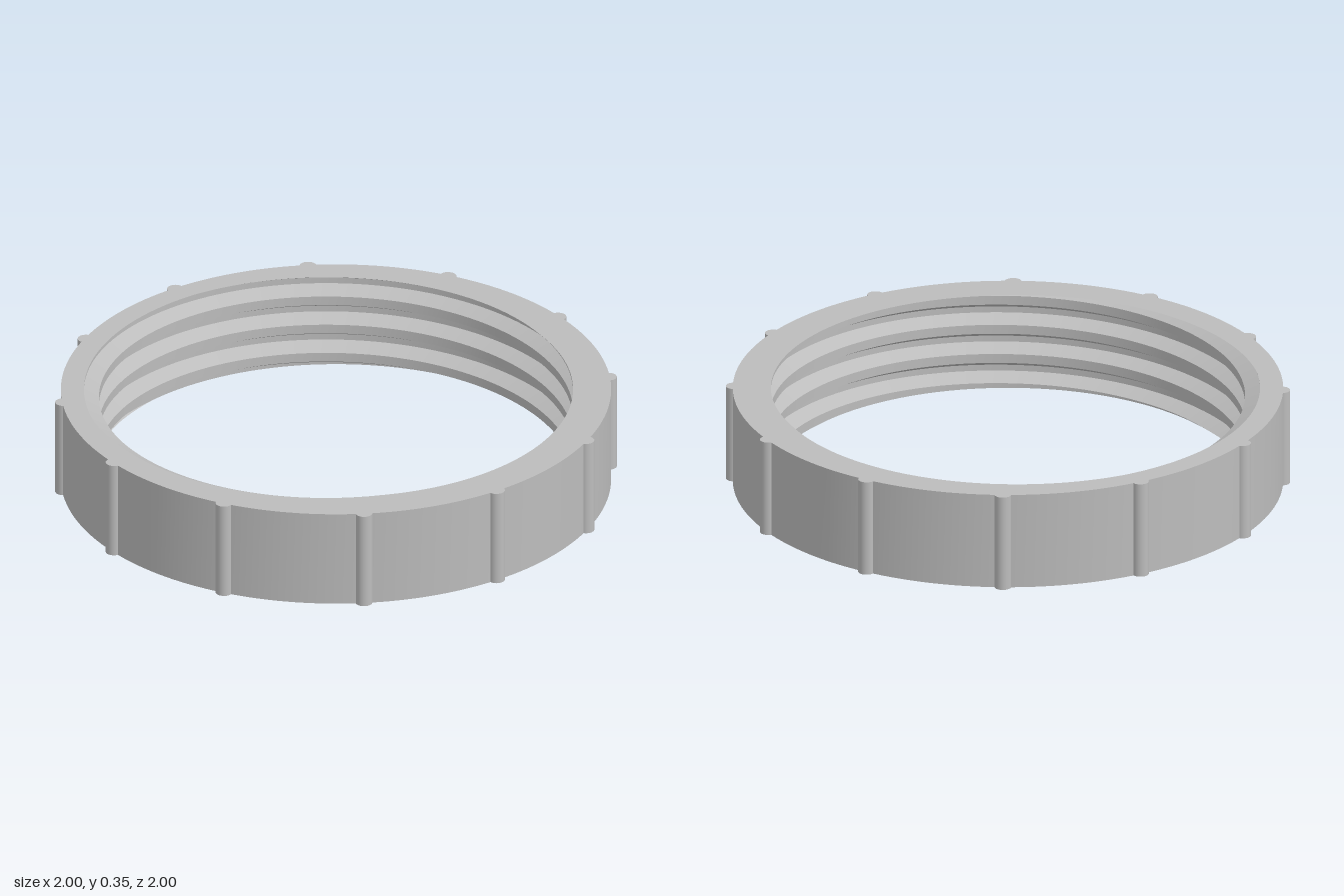
import * as THREE from 'three';
import { toCreasedNormals } from 'three/addons/utils/BufferGeometryUtils.js';

const HEIGHT = 0.355, OUTER = 0.975, CREST = 0.84, ROOT = 0.893;
const PITCH = 0.112, SEGMENTS = 180, RIBS = 12;

// One turn of thread, going up: [fraction of pitch, radius]
const THREAD = [[0, CREST], [0.305, CREST], [0.54, ROOT], [0.74, ROOT], [1, CREST]];
const START = 0.236; // fraction of a turn where the thread opens into the top face

// Fraction of the pitch at which the bottom of a crest meets the top face is START
const crestBase = (t) => HEIGHT + (t - START) * PITCH;

function threadRadius(y, t) {
  let f = (y - crestBase(t)) / PITCH;
  f -= Math.floor(f);
  for (let k = 1; k < THREAD.length; k++) {
    const [f0, r0] = THREAD[k - 1], [f1, r1] = THREAD[k];
    if (f <= f1) return r0 + (r1 - r0) * (f - f0) / (f1 - f0);
  }
  return CREST;
}

// Closed cross-section of the ring at a turn fraction t
function section(t) {
  const pts = [[OUTER, 0], [threadRadius(0, t), 0]];
  for (let n = -5; n <= 1; n++) {
    for (let k = 0; k < 4; k++) {
      const y = crestBase(t) + (n + THREAD[k][0]) * PITCH;
      const yc = Math.min(HEIGHT, Math.max(0, y));
      pts.push([threadRadius(yc, t), yc]);
    }
  }
  pts.push([threadRadius(HEIGHT, t), HEIGHT], [OUTER, HEIGHT], [OUTER, 0]);
  return pts;
}

// Sweep the changing section around the axis
function threadedRingGeometry() {
  const columns = [];
  for (let i = 0; i <= SEGMENTS; i++) {
    const t = i / SEGMENTS, a = (i % SEGMENTS) / SEGMENTS * Math.PI * 2;
    columns.push(section(t).map(([r, y]) => new THREE.Vector3(r * Math.cos(a), y, -r * Math.sin(a))));
  }
  const positions = [];
  const tri = new THREE.Triangle();
  const add = (a, b, c) => {
    tri.set(a, b, c);
    if (tri.getArea() > 1e-9) positions.push(...a.toArray(), ...b.toArray(), ...c.toArray());
  };
  for (let i = 0; i < SEGMENTS; i++) {
    const p = columns[i], q = columns[i + 1];
    for (let j = 0; j < p.length - 1; j++) {
      add(p[j], p[j + 1], q[j]);
      add(p[j + 1], q[j + 1], q[j]);
    }
  }
  const geometry = new THREE.BufferGeometry();
  geometry.setAttribute('position', new THREE.Float32BufferAttribute(positions, 3));
  return toCreasedNormals(geometry, 0.35);
}

export function createModel() {
  const model = new THREE.Group();
  model.name = 'threadedRing';
  const grey = new THREE.MeshStandardMaterial({ color: 0xbcbcbc });
  grey.name = 'light grey';

  const ring = new THREE.Mesh(threadedRingGeometry(), grey);
  ring.name = 'ringBody';
  model.add(ring);

  // Half-round grip ribs around the outside
  const ribs = new THREE.Group();
  ribs.name = 'gripRibs';
  const ribGeometry = new THREE.CylinderGeometry(0.03, 0.03, HEIGHT, 16, 1, false, 0, Math.PI);
  for (let i = 0; i < RIBS; i++) {
    const a = i / RIBS * Math.PI * 2;
    const rib = new THREE.Mesh(ribGeometry, grey);
    rib.name = 'gripRib';
    rib.position.set(0.97 * Math.cos(a), HEIGHT / 2, -0.97 * Math.sin(a));
    rib.rotation.y = a;
    ribs.add(rib);
  }
  model.add(ribs);
  return model;
}
